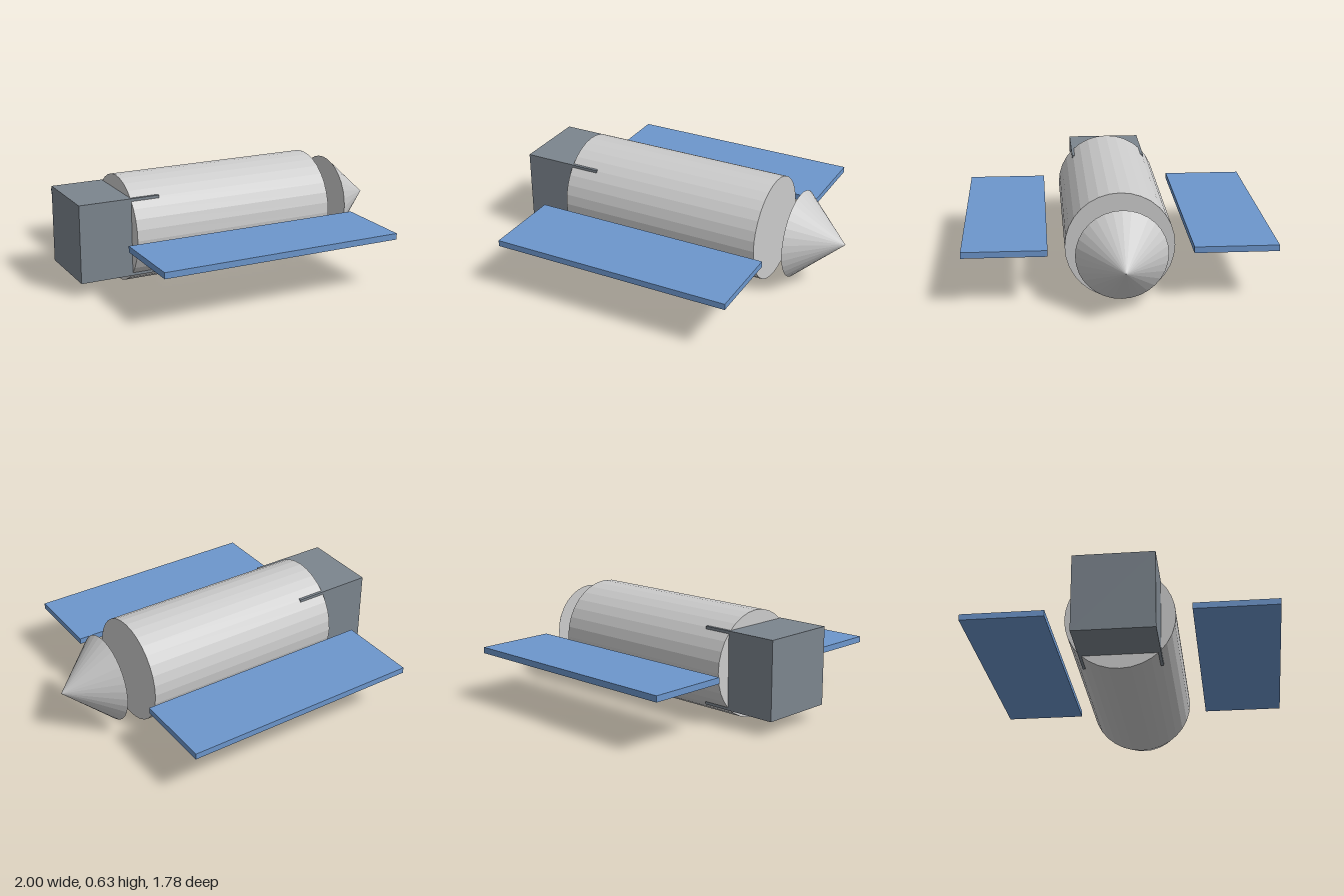
import * as THREE from 'three';

const AXIS_Y = 0.3126;
const SIDES = 32;

export function createModel() {
  const model = new THREE.Group();
  model.name = 'spacecraft';

  const material = (color) => new THREE.MeshStandardMaterial({ color, flatShading: true });
  const grey = material(0xcccccc);
  const slate = material(0x7c858e);
  const blue = material(0x6c96cc);

  const add = (name, geometry, mat, x, z = 0) => {
    const mesh = new THREE.Mesh(geometry, mat);
    mesh.name = name;
    mesh.position.set(x, AXIS_Y, z);
    model.add(mesh);
    return mesh;
  };

  // Main hull, lying along x
  const hull = new THREE.CylinderGeometry(0.3126, 0.3126, 1.25, SIDES).rotateZ(-Math.PI / 2);
  add('hull', hull, grey, -0.064);

  // Nose cone floating ahead of the hull, tip towards +x
  const nose = new THREE.ConeGeometry(0.26, 0.289, SIDES).rotateZ(-Math.PI / 2);
  add('noseCone', nose, grey, 0.8555);

  // Square engine block; its corners break through the hull
  add('engineBlock', new THREE.BoxGeometry(0.481, 0.457, 0.457), slate, -0.7595);

  // Flat panels on both sides
  for (const side of [1, -1]) {
    const name = side > 0 ? 'frontPanel' : 'backPanel';
    add(name, new THREE.BoxGeometry(1.443, 0.036, 0.481), blue, -0.063, side * 0.65);
  }

  return model;
}
